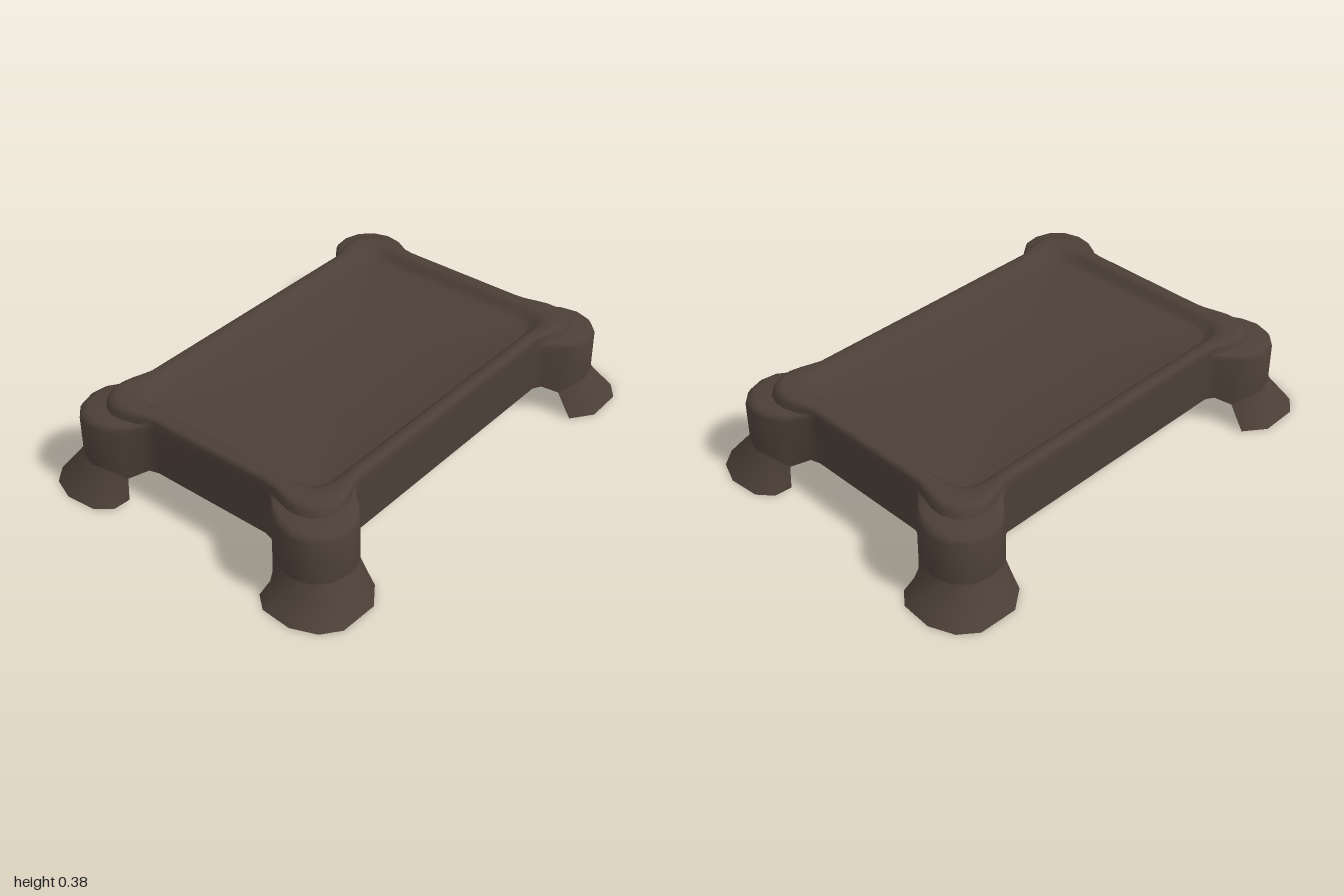
import * as THREE from 'three';
import { mergeVertices, toCreasedNormals } from 'three/addons/utils/BufferGeometryUtils.js';

// One quarter of each plan outline [x, z], from the side middle round the corner to the front middle.
const WALL = [[.788, 0], [.788, .27], [.80, .31], [.86, .365], [.897, .43], [.91, .50], [.89, .57], [.84, .62],
  [.77, .64], [.70, .63], [.645, .59], [.60, .535], [.565, .515], [0, .515]];
const RIM = [[.788, 0], [.788, .27], [.793, .31], [.808, .36], [.82, .41], [.82, .455], [.803, .50], [.775, .53],
  [.735, .55], [.69, .55], [.645, .54], [.60, .525], [.565, .515], [0, .515]];
const TRAY = [[.72, 0], [.72, .25], [.72, .30], [.72, .34], [.717, .37], [.71, .40], [.695, .425], [.67, .443],
  [.645, .451], [.61, .455], [.58, .455], [.55, .455], [.52, .455], [0, .455]];
// Splayed foot outline matching WALL points 3 to 10
const FOOT = [[.865, .365], [.94, .37], [.99, .43], [1, .56], [.96, .66], [.89, .715], [.73, .72], [.642, .655]];
const HEM = .13;   // height of the lower edge between the legs
const NECK = .10;  // where that edge curves down into a leg

const lerp = (a, b, t) => a.map((p, i) => [p[0] + (b[i][0] - p[0]) * t, p[1] + (b[i][1] - p[1]) * t]);
const hemHeight = (i) => (i === 3 || i === 10 ? NECK : HEM);

// Mirror a quarter into a closed ring; y is a height or a rule giving the height of each point
function ring(q, y) {
  const pts = q.map(([x, z], i) => [x, typeof y === 'function' ? y(i) : y, z]);
  const back = [...pts].reverse();
  const part = (list, sx, sz) => list.slice(0, -1).map(([x, h, z]) => [x * sx, h, z * sz]);
  return [...part(pts, 1, 1), ...part(back, -1, 1), ...part(pts, -1, -1), ...part(back, 1, -1)];
}

// Skin a stack of cross-sections from bottom to top; optionally close the top
function loft(rings, closed = true, cap = false) {
  const n = rings[0].length, pos = rings.flat(2), idx = [];
  const m = closed ? n : n - 1;
  for (let r = 0; r < rings.length - 1; r++) {
    for (let i = 0; i < m; i++) {
      const a = r * n + i, b = r * n + (i + 1) % n;
      idx.push(a, a + n, b, b, a + n, b + n);
    }
  }
  if (cap) {
    const top = (rings.length - 1) * n, c = rings.length * n;
    pos.push(0, rings[rings.length - 1][0][1], 0);
    for (let i = 0; i < n; i++) idx.push(c, top + (i + 1) % n, top + i);
  }
  const g = new THREE.BufferGeometry();
  g.setAttribute('position', new THREE.Float32BufferAttribute(pos, 3));
  g.setIndex(idx);
  return toCreasedNormals(mergeVertices(g), 0.95);
}

export function createModel() {
  const group = new THREE.Group();
  const brown = new THREE.MeshStandardMaterial({ color: 0x4c3f37, side: THREE.DoubleSide });
  brown.name = 'dark brown';
  const add = (name, geo) => {
    const mesh = new THREE.Mesh(geo, brown);
    mesh.name = name;
    group.add(mesh);
  };

  // Hollow side walls running round the legs, rounded leg shoulders, raised rim and sunken tray
  const inset = (sx, sz) => TRAY.map(([x, z]) => [x * sx, z * sz]);
  add('tableShell', loft([
    ring(WALL, hemHeight),
    ring(WALL, .31),
    ring(lerp(WALL, RIM, .1), .327),
    ring(lerp(WALL, RIM, .3), .334),
    ring(lerp(WALL, RIM, .92), .338),
    ring(RIM, .362),
    ring(lerp(RIM, TRAY, .08), .375),
    ring(lerp(RIM, TRAY, .25), .38),
    ring(lerp(RIM, TRAY, .75), .378),
    ring(TRAY, .367),
    ring(inset(.977, .964), .342),
    ring(inset(.955, .93), .337),
  ], true, true));

  // Open splayed feet below the four corners
  const top = WALL.slice(3, 11);
  const topHeight = (i) => hemHeight(i + 3);
  for (const sx of [1, -1]) {
    for (const sz of [1, -1]) {
      const row = (pts, height) => {
        const out = pts.map(([x, z], i) => [x * sx, height(i), z * sz]);
        return sx * sz > 0 ? out : out.reverse();
      };
      const side = sx > 0 ? 'Left' : 'Right';
      add((sz > 0 ? 'front' : 'back') + side + 'Foot', loft([
        row(FOOT, () => 0),
        row(lerp(top, FOOT, .45), (i) => topHeight(i) * .53),
        row(top, topHeight),
      ], false));
    }
  }
  return group;
}
